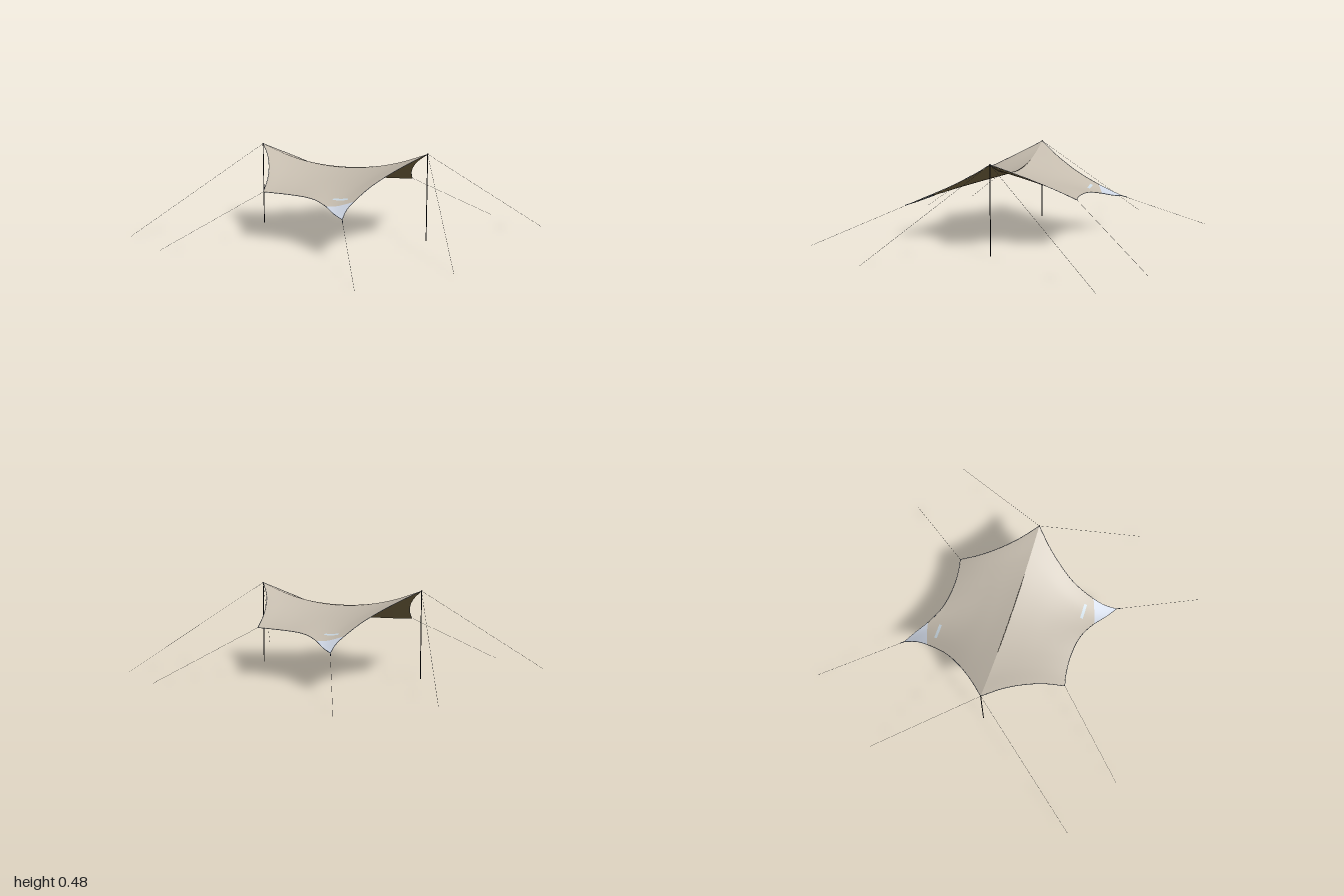
import * as THREE from 'three';

const mat = (name, color) => {
  const m = new THREE.MeshStandardMaterial({ color });
  m.name = name;
  return m;
};
const V = (x, y, z) => new THREE.Vector3(x, y, z);
const spline = (pts) => {
  const c = new THREE.CatmullRomCurve3(pts.map((p) => V(...p)));
  c.arcLengthDivisions = 400;
  return c;
};

// Boundary curves of the front half of the canopy
const ridgeXs = [-0.515, -0.35, -0.18, 0, 0.18, 0.35, 0.515];
const ridgeY = (x) => 0.371 + 0.104 * (x / 0.515) ** 2;
const ridge = spline(ridgeXs.map((x) => [x, ridgeY(x), 0]));
const hem = spline([[-0.27, 0.27, 0.395], [-0.2, 0.267, 0.382], [-0.1, 0.264, 0.377], [0, 0.26, 0.388],
  [0.06, 0.253, 0.406], [0.14, 0.235, 0.449], [0.21, 0.214, 0.5], [0.28, 0.2, 0.545]]);
const shortSide = spline([[-0.515, 0.475, 0], [-0.43, 0.425, 0.09], [-0.362, 0.376, 0.185],
  [-0.307, 0.323, 0.29], [-0.27, 0.27, 0.395]]);
const longSide = spline([[0.515, 0.475, 0], [0.43, 0.422, 0.09], [0.362, 0.373, 0.18], [0.307, 0.321, 0.28],
  [0.275, 0.265, 0.4], [0.268, 0.234, 0.47], [0.28, 0.2, 0.545]]);

// Point on the stretched cloth: blend of the four boundary curves
function cloth(u, v) {
  const p = V(0, 0, 0);
  const add = (q, w) => p.addScaledVector(q, w);
  add(ridge.getPointAt(u), 1 - v);
  add(hem.getPointAt(u), v);
  add(shortSide.getPointAt(v), 1 - u);
  add(longSide.getPointAt(v), u);
  add(ridge.getPointAt(0), -(1 - u) * (1 - v));
  add(ridge.getPointAt(1), -u * (1 - v));
  add(hem.getPointAt(0), -(1 - u) * v);
  add(hem.getPointAt(1), -u * v);
  return p;
}

// Cloth point above a given x, z
function clothAt(x, z) {
  let u = 0.5, v = 0.5, p;
  const clamp = (t) => Math.min(1, Math.max(0, t));
  for (let i = 0; i < 40; i++) {
    p = cloth(u, v);
    u = clamp(u + (x - p.x) / 0.9);
    v = clamp(v + (z - p.z) / 0.6);
  }
  return p;
}

// Grid surface from fn(s, t), s towards +x and t towards +z; flip turns it face down
function sheet(fn, ns, nt, lift, flip = false) {
  const pos = [], idx = [];
  for (let j = 0; j <= nt; j++) {
    for (let i = 0; i <= ns; i++) {
      const p = fn(i / ns, j / nt);
      pos.push(p.x, p.y + lift, p.z);
      if (i === ns || j === nt) continue;
      const a = j * (ns + 1) + i, b = a + 1, c = a + ns + 1, d = c + 1;
      if (flip) idx.push(a, b, c, b, d, c);
      else idx.push(a, c, b, b, c, d);
    }
  }
  const g = new THREE.BufferGeometry();
  g.setAttribute('position', new THREE.Float32BufferAttribute(pos, 3));
  g.setIndex(idx);
  g.computeVertexNormals();
  return g;
}

export function createModel() {
  const canvas = mat('canvas beige', 0xc5bcae);
  const lining = mat('lining brown', 0x8e7b50);
  const blue = mat('pale blue', 0xcdd5e3);
  const deepBlue = mat('panel underside blue', 0x606c7c);
  const stripBlue = mat('strip blue', 0xcad8e2);
  const trim = mat('trim slate', 0x46566f);
  const dark = mat('ridge grey', 0x5c564c);
  const black = mat('pole black', 0x18181a);
  const rope = mat('rope grey', 0x5c5c5c);

  const model = new THREE.Group();
  model.name = 'tarpShelter';
  const add = (parent, name, geo, m) => {
    const mesh = new THREE.Mesh(geo, m);
    mesh.name = name;
    parent.add(mesh);
    return mesh;
  };
  const rod = (parent, name, a, b, r, m) => {
    const mesh = add(parent, name, new THREE.CylinderGeometry(r, r, a.distanceTo(b), 8), m);
    mesh.position.copy(a).lerp(b, 0.5);
    mesh.quaternion.setFromUnitVectors(V(0, 1, 0), b.clone().sub(a).normalize());
  };

  // Corner panel lies between the end of the hem and the end of the long side
  const panel = (s, t) => cloth(THREE.MathUtils.lerp(0.71 + 0.29 * t, 1, s),
    THREE.MathUtils.lerp(1, 0.77 + 0.23 * t, s));
  const strip = (s, t) => clothAt(0.14 + 0.085 * s, 0.363 + 0.016 * t);

  // Two identical halves, turned half a circle
  for (const [side, turn] of [['front', 0], ['back', Math.PI]]) {
    const half = new THREE.Group();
    half.name = side + 'Half';
    half.rotation.y = turn;
    model.add(half);

    add(half, 'canopyTop', sheet(cloth, 48, 32, 0), canvas);
    add(half, 'canopyLining', sheet(cloth, 48, 32, -0.002, true), lining);
    add(half, 'cornerPanelTop', sheet(panel, 14, 14, 0.0015), blue);
    add(half, 'cornerPanelUnder', sheet(panel, 14, 14, -0.0035, true), deepBlue);
    add(half, 'paleStripTop', sheet(strip, 6, 2, 0.002), stripBlue);
    add(half, 'paleStripUnder', sheet(strip, 6, 2, -0.004, true), stripBlue);

    // Edge binding
    for (const [name, curve] of [['hemBinding', hem], ['shortSideBinding', shortSide], ['longSideBinding', longSide]]) {
      add(half, name, new THREE.TubeGeometry(curve, 40, 0.0013, 6), trim);
    }

    // Pole with tip
    rod(half, 'pole', V(0.515, 0, 0), V(0.515, 0.475, 0), 0.0026, black);
    const tip = add(half, 'poleTip', new THREE.SphereGeometry(0.004, 10, 8), black);
    tip.position.set(0.515, 0.475, 0);

    // Guy lines from the pole and both lower corners
    const top = V(0.515, 0.475, 0), low = V(0.28, 0.2, 0.545), high = V(-0.27, 0.27, 0.395);
    rod(half, 'poleGuyFront', top, V(0.87, 0, 0.56), 0.0006, rope);
    rod(half, 'poleGuyBack', top, V(0.985, 0, -0.64), 0.0006, rope);
    rod(half, 'lowCornerGuy', low, V(0.57, 0, 1), 0.0006, rope);
    rod(half, 'highCornerGuy', high, V(-0.64, 0, 0.82), 0.0006, rope);
    rod(half, 'cornerStrap', low, V(0.295, 0.192, 0.568), 0.002, trim);
  }

  // Ridge cord: on top of the cloth in the middle, under it towards the poles
  const cord = spline(ridgeXs.map((x) => [x, ridgeY(x) + 0.001 - 0.0045 * Math.min(1, (x / 0.3) ** 2), 0]));
  add(model, 'ridgeCord', new THREE.TubeGeometry(cord, 48, 0.0017, 6), dark);

  return model;
}
